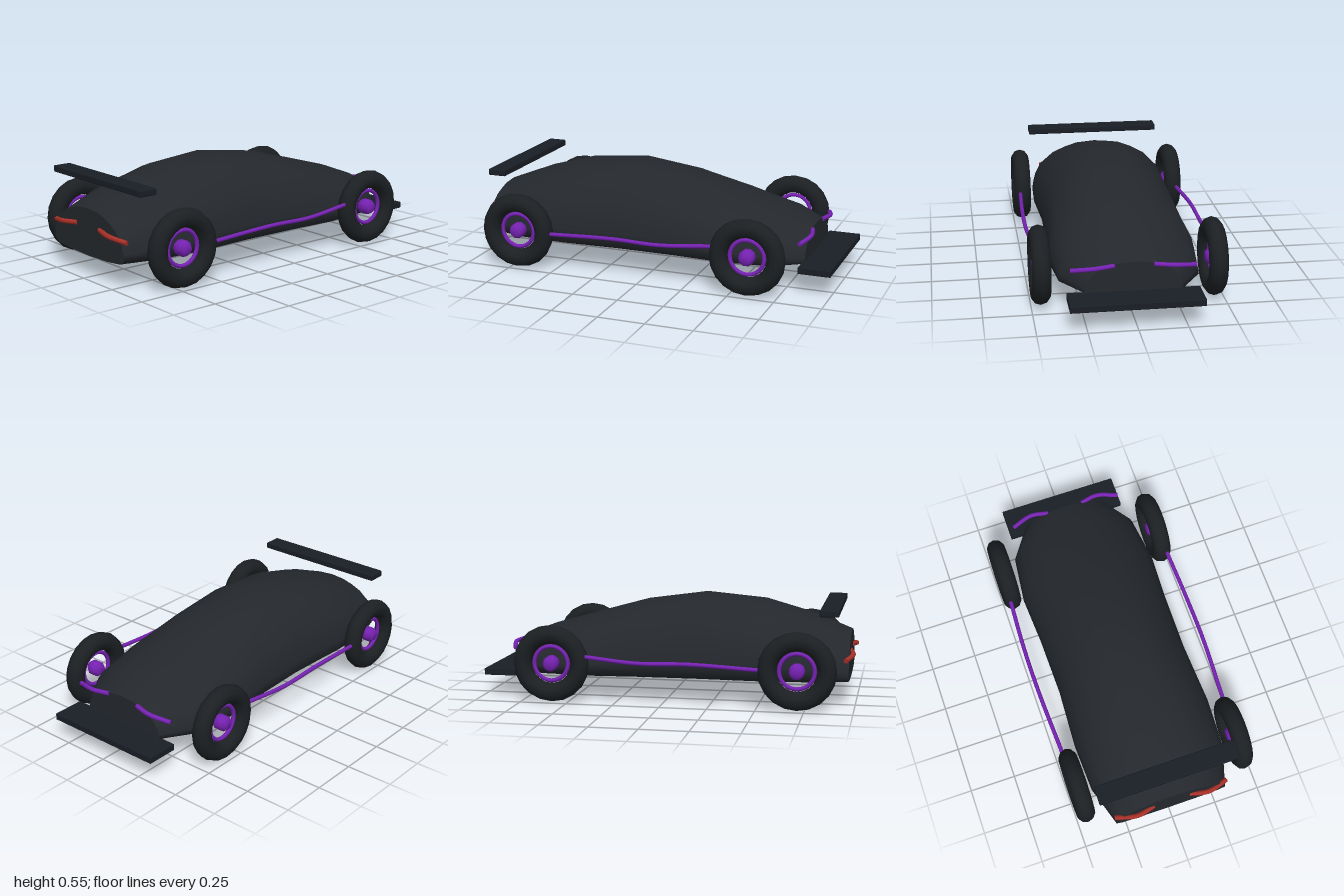
import * as THREE from 'three';
import { RoundedBoxGeometry } from 'three/addons/geometries/RoundedBoxGeometry.js';

const mat = (color, side = THREE.FrontSide) => new THREE.MeshStandardMaterial({ color, side });

// Body stations: z, half width, bottom y, top y
const STATIONS = [
  [-0.84, 0.25, 0.12, 0.30],
  [-0.68, 0.36, 0.112, 0.36],
  [-0.42, 0.39, 0.107, 0.435],
  [-0.15, 0.375, 0.103, 0.51],
  [0.17, 0.37, 0.1, 0.555],
  [0.49, 0.388, 0.103, 0.525],
  [0.75, 0.378, 0.11, 0.45],
  [0.965, 0.31, 0.115, 0.365],
];

// Half cross-section from bottom to top: fraction of half width, fraction of height
const SECTION = [
  [0, 0], [0.52, 0.015], [0.88, 0.06], [1, 0.15], [0.985, 0.27], [0.95, 0.43],
  [0.86, 0.62], [0.66, 0.81], [0.47, 0.905], [0.28, 0.972], [0, 1],
];

function bodyGeometry() {
  const ring = [...SECTION, ...SECTION.slice(1, -1).reverse().map(([x, y]) => [-x, y])];
  const n = ring.length, pos = [], idx = [];
  const addRing = ([z, w, b, t]) => ring.forEach(([x, y]) => pos.push(x * w, b + y * (t - b), z));
  STATIONS.forEach(addRing);
  for (let s = 0; s < STATIONS.length - 1; s++) {
    for (let i = 0; i < n; i++) {
      const a = s * n + i, b = s * n + (i + 1) % n;
      idx.push(a, b, b + n, a, b + n, a + n);
    }
  }
  // End caps with their own vertices keep the end edges sharp
  for (const [st, front] of [[STATIONS[0], false], [STATIONS[STATIONS.length - 1], true]]) {
    const base = pos.length / 3;
    addRing(st);
    pos.push(0, (st[2] + st[3]) / 2, st[0]);
    for (let i = 0; i < n; i++) {
      const a = base + i, b = base + (i + 1) % n;
      idx.push(base + n, front ? a : b, front ? b : a);
    }
  }
  const geo = new THREE.BufferGeometry();
  geo.setAttribute('position', new THREE.Float32BufferAttribute(pos, 3));
  geo.setIndex(idx);
  geo.computeVertexNormals();
  return geo;
}

export function createModel() {
  const model = new THREE.Group();
  const dark = mat(0x24282d), rubber = mat(0x1c2023), wing = mat(0x1a1f26);
  const purple = mat(0x7722b4, THREE.DoubleSide), red = mat(0xa83028, THREE.DoubleSide);

  const add = (parent, name, geo, material, p = [0, 0, 0]) => {
    const mesh = new THREE.Mesh(geo, material);
    mesh.name = name;
    mesh.position.set(...p);
    parent.add(mesh);
    return mesh;
  };

  // Round bar through points with closed ends, mirrored by side
  const bar = (name, side, points, radius, material) => {
    const pts = points.map(([x, y, z]) => new THREE.Vector3(x * side, y, z));
    const group = new THREE.Group();
    group.name = name;
    const curve = new THREE.CatmullRomCurve3(pts);
    add(group, 'bar', new THREE.TubeGeometry(curve, 24, radius, 8), material);
    for (const t of [0, 1]) {
      const cap = add(group, 'barEnd', new THREE.CircleGeometry(radius, 8), material);
      cap.position.copy(curve.getPoint(t));
      const dir = curve.getTangent(t).multiplyScalar(t ? 1 : -1);
      cap.quaternion.setFromUnitVectors(new THREE.Vector3(0, 0, 1), dir);
    }
    model.add(group);
  };

  add(model, 'body', bodyGeometry(), dark);

  // Floating front wing and rear plate
  add(model, 'frontWing', new RoundedBoxGeometry(0.77, 0.035, 0.1, 2, 0.006), wing, [0, 0.498, 0.865]);
  add(model, 'rearPlate', new RoundedBoxGeometry(0.674, 0.036, 0.174, 2, 0.004), wing, [0, 0.128, -0.913]);

  // Barrel hub tapering towards both faces
  const hubProfile = [[0, -0.04], [0.028, -0.04], [0.042, -0.02], [0.042, 0.02], [0.028, 0.04], [0, 0.04]]
    .map(([r, y]) => new THREE.Vector2(r, y));

  for (const side of [1, -1]) {
    const label = side > 0 ? 'left' : 'right';
    for (const [end, z] of [['Front', 0.71], ['Rear', -0.59]]) {
      const wheel = new THREE.Group();
      wheel.name = `${label}${end}Wheel`;
      wheel.position.set(0.45 * side, 0.207, z);
      add(wheel, 'tire', new THREE.TorusGeometry(0.155, 0.05, 10, 20), rubber).rotation.y = Math.PI / 2;
      add(wheel, 'rimRing', new THREE.TorusGeometry(0.092, 0.011, 8, 24), purple).rotation.y = Math.PI / 2;
      add(wheel, 'hub', new THREE.LatheGeometry(hubProfile, 10), purple).rotation.z = Math.PI / 2;
      model.add(wheel);
    }

    // Light strips and side rails
    bar(`${label}Headlight`, side,
      [[0.1, 0.27, 0.962], [0.2, 0.262, 0.982], [0.315, 0.245, 0.95]], 0.013, red);
    bar(`${label}TailLight`, side,
      [[0.1, 0.282, -0.84], [0.2, 0.278, -0.858], [0.315, 0.262, -0.827]], 0.012, purple);
    bar(`${label}SideRail`, side,
      [[0.466, 0.21, 0.51], [0.481, 0.23, 0.15], [0.48, 0.226, -0.12], [0.466, 0.25, -0.41]], 0.011, purple);
  }
  return model;
}
